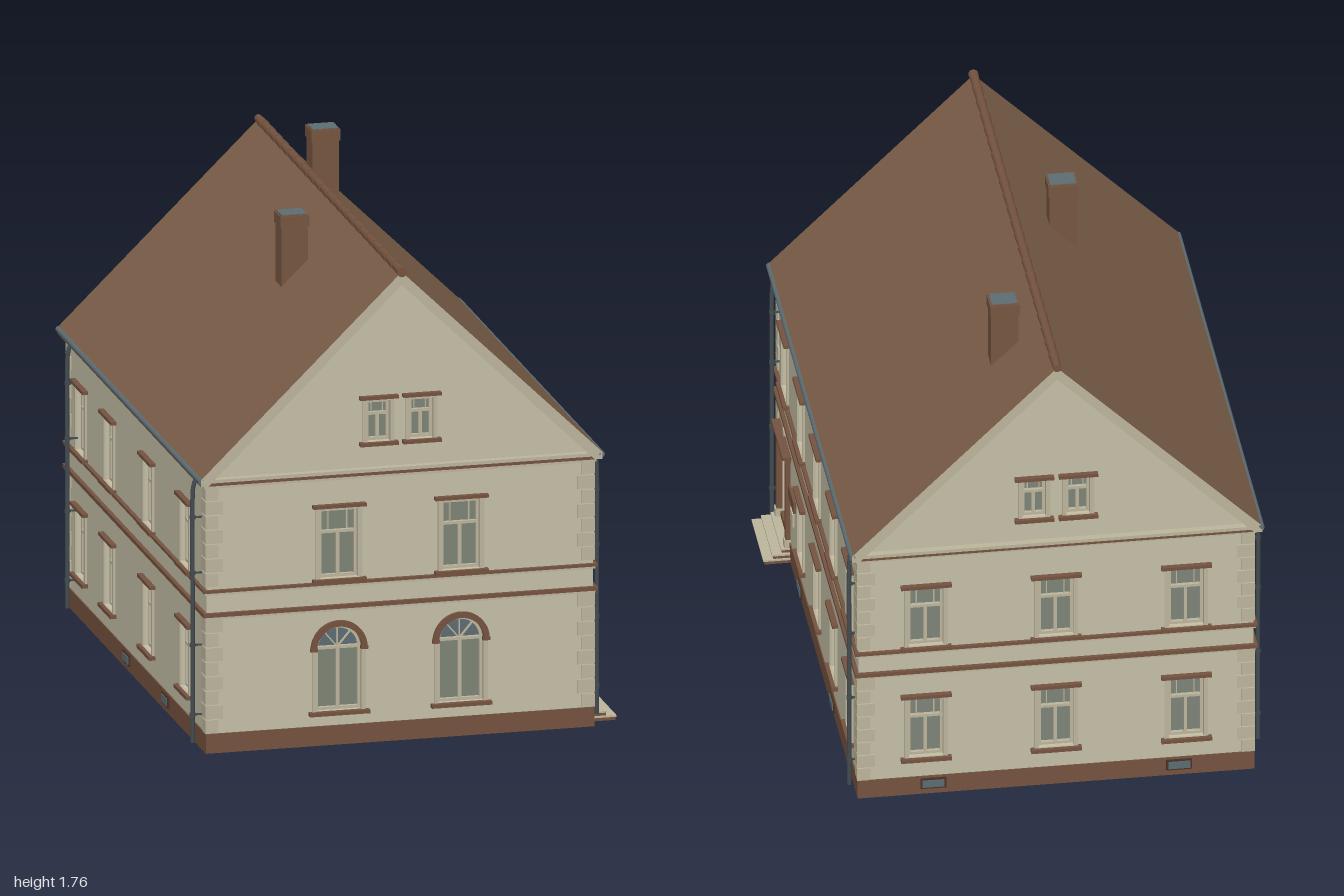
import * as THREE from 'three';

const mat = (name, color) => Object.assign(new THREE.MeshStandardMaterial({ color }), { name });
const M = {
  wall: mat('cream plaster', 0xc6c0a8),
  trim: mat('pale stone trim', 0xbdb69d),
  roof: mat('brown roof tile', 0x7c5e49),
  brown: mat('brown stone', 0x75533f),
  dark: mat('dark door wood', 0x4a3124),
  brick: mat('chimney brick', 0x765641),
  glass: mat('window glass', 0x7e8578),
  slate: mat('blue grey metal', 0x5d6d73),
  pipe: mat('dark zinc', 0x434d52),
};
const CX = -0.033, HW = 0.69, HD = 0.967, T = 0.045;

function add(parent, name, geo, material, x = 0, y = 0, z = 0) {
  const m = new THREE.Mesh(geo, material);
  m.name = name;
  m.position.set(x, y, z);
  parent.add(m);
  return m;
}
const box = (p, name, m, w, h, d, x, y, z) => add(p, name, new THREE.BoxGeometry(w, h, d), m, x, y, z);
const extrude = (shape, depth) => new THREE.ExtrudeGeometry(shape, { depth, bevelEnabled: false, curveSegments: 12 });

// Rectangular or round-headed outline, usable as a shape or a hole
function outline(Type, o, grow = 0) {
  const p = new Type(), h = o.w / 2 + grow, top = o.y1 + grow, low = o.y0 - grow;
  p.moveTo(o.u - h, low);
  p.lineTo(o.u + h, low);
  if (o.arch) p.absarc(o.u, o.y1 - o.w / 2, h, 0, Math.PI, false);
  else { p.lineTo(o.u + h, top); p.lineTo(o.u - h, top); }
  p.closePath();
  return p;
}
function ring(o, outer, inner, depth) {
  const s = outline(THREE.Shape, o, outer);
  s.holes.push(outline(THREE.Path, o, inner));
  return extrude(s, depth);
}

// One window in wall coordinates: u to the right, y up, z outwards
function addWindow(wall, o) {
  const g = new THREE.Group();
  g.name = 'window';
  wall.add(g);
  const h = o.y1 - o.y0, ys = o.arch ? o.y1 - o.w / 2 : o.y0 + h * 0.66, cap = o.w + 0.055;
  add(g, 'glass', extrude(outline(THREE.Shape, o), 0.004), M.glass, 0, 0, -0.032);
  add(g, 'sash', ring(o, 0, -0.01, 0.014), M.trim, 0, 0, -0.028);
  box(g, 'mullion', M.trim, 0.012, ys - o.y0, 0.012, o.u, (ys + o.y0) / 2, -0.02);
  box(g, 'transom', M.trim, o.w, 0.01, 0.014, o.u, ys, -0.02);
  box(g, 'sill', M.brown, cap, 0.013, 0.034, o.u, o.y0 - 0.007, 0.005);
  if (o.arch) {
    const r = o.w / 2;
    // Blue fanlight with spokes and a brown arch band
    const fan = new THREE.Shape().absarc(o.u, ys, r, 0, Math.PI, false);
    add(g, 'fanlight', extrude(fan, 0.003), M.slate, 0, 0, -0.03);
    for (const a of [-0.7, 0, 0.7]) {
      const b = box(g, 'fanSpoke', M.trim, 0.005, r, 0.008, o.u - Math.sin(a) * r / 2, ys + Math.cos(a) * r / 2, -0.022);
      b.rotation.z = a;
    }
    const band = new THREE.Shape();
    band.absarc(o.u, ys, r + 0.021, 0, Math.PI, false);
    band.absarc(o.u, ys, r, Math.PI, 0, true);
    add(g, 'archBand', extrude(band, 0.012), M.brown);
    for (const s of [-1, 1]) {
      box(g, 'impost', M.brown, 0.026, 0.012, 0.018, o.u + s * (r + 0.01), ys, 0.005);
      box(g, 'jamb', M.trim, 0.016, ys - o.y0, 0.008, o.u + s * (r + 0.008), (ys + o.y0) / 2, 0.004);
    }
  } else {
    add(g, 'surround', ring(o, 0.015, 0, 0.008), M.trim);
    box(g, 'lintelCap', M.brown, cap, 0.012, 0.024, o.u, o.y1 + 0.013, 0.008);
    for (const s of [-1, 1]) // slim upper glazing bars
      box(g, 'glazingBar', M.trim, 0.004, o.y1 - ys, 0.008, o.u + s * o.w * 0.25, (o.y1 + ys) / 2, -0.024);
  }
}

// A wall with pierced openings, windows, quoins and cellar vents
function addWall(house, name, half, end, dist, angle, gable, windows, vents, door) {
  const g = new THREE.Group();
  g.name = name;
  g.rotation.y = angle;
  g.position.set(CX + Math.sin(angle) * dist, 0, Math.cos(angle) * dist);
  house.add(g);
  const s = new THREE.Shape();
  s.moveTo(-half, 0.02);
  s.lineTo(half, 0.02);
  s.lineTo(half, 0.99);
  if (gable) s.lineTo(0, 1.665);
  s.lineTo(-half, 0.99);
  s.closePath();
  for (const o of door ? [...windows, door] : windows) s.holes.push(outline(THREE.Path, o));
  add(g, 'wallFace', extrude(s, T), M.wall, 0, 0, -T);
  windows.forEach(o => addWindow(g, o));
  for (const [y0, n] of [[0.07, 8], [0.598, 7]]) {
    const step = (y0 < 0.5 ? 0.415 : 0.362) / n;
    for (let i = 0; i < n; i++) for (const side of [-1, 1]) {
      const w = i % 2 ? 0.062 : 0.046;
      box(g, 'quoin', M.trim, w, step - 0.004, 0.012, side * (end + 0.005 - w / 2), y0 + step * (i + 0.5), 0);
    }
  }
  for (const u of vents) {
    box(g, 'ventFrame', M.dark, 0.09, 0.04, 0.008, u, 0.042, 0.006);
    box(g, 'ventGrille', M.slate, 0.076, 0.028, 0.008, u, 0.042, 0.009);
  }
  return g;
}

// Panelled door, fanlight, frame and signs
function addDoor(wall, o) {
  const g = new THREE.Group();
  g.name = 'entrance';
  wall.add(g);
  const u = o.u;
  box(g, 'doorLeaf', M.brown, o.w, 0.285, 0.01, u, 0.195, -0.03);
  for (const s of [-1, 1]) {
    for (let r = 0; r < 3; r++) {
      const y = 0.108 + r * 0.087;
      box(g, 'doorPanel', M.dark, 0.072, 0.07, 0.008, u + s * 0.045, y, -0.023);
      box(g, 'panelField', M.brown, 0.044, 0.042, 0.008, u + s * 0.045, y, -0.02);
    }
    box(g, 'doorPilaster', M.brown, 0.028, 0.35, 0.02, u + s * (o.w / 2 + 0.013), 0.225, 0.008);
    box(g, 'pilasterBase', M.trim, 0.032, 0.03, 0.026, u + s * (o.w / 2 + 0.013), 0.065, 0.01);
  }
  box(g, 'doorHandle', M.pipe, 0.006, 0.02, 0.012, u + 0.004, 0.195, -0.018);
  box(g, 'doorTransom', M.brown, o.w, 0.014, 0.02, u, 0.34, -0.018);
  box(g, 'doorFanlight', M.glass, o.w, 0.05, 0.006, u, 0.37, -0.03);
  for (let i = -2; i <= 2; i++) box(g, 'fanlightBar', M.trim, 0.005, 0.046, 0.008, u + i * 0.036, 0.37, -0.024);
  box(g, 'doorLintel', M.brown, 0.25, 0.018, 0.022, u, 0.4, 0.009);
  box(g, 'doorCornice', M.brown, 0.268, 0.012, 0.034, u, 0.414, 0.014);
  box(g, 'signBoard', M.brown, 0.125, 0.045, 0.009, -0.578, 0.287, 0.006);
  box(g, 'noticePlate', M.trim, 0.054, 0.05, 0.008, -0.578, 0.214, 0.005);
  box(g, 'houseLamp', M.trim, 0.03, 0.02, 0.009, u, 0.446, 0.005);
  [[0.28, 0.142], [0.27, 0.11], [0.25, 0.078]].forEach(([w, d], i) => {
    box(g, 'step', M.brown, w, 0.016, d - 0.01, u, 0.008 + i * 0.016, d / 2 - 0.042);
    box(g, 'stepNosing', M.trim, w + 0.002, 0.006, d - 0.006, u, 0.014 + i * 0.016, d / 2 - 0.04);
  });
}

export function createModel() {
  const house = new THREE.Group();
  house.name = 'house';
  const row = (us, w, y0, y1, arch) => us.map(u => ({ u, w, y0, y1, arch }));
  const attic = row([-0.077, 0.077], 0.082, 1.082, 1.228);
  const floors = (us, low = us) => [...row(us, 0.122, 0.597, 0.826), ...row(low, 0.122, 0.15, 0.384)];

  // Four walls
  addWall(house, 'frontWall', HW, HW, HD, 0, true,
    [...row([-0.218, 0.218], 0.135, 0.6, 0.848), ...row([-0.218, 0.218], 0.16, 0.123, 0.426, true), ...attic], []);
  addWall(house, 'backWall', HW, HW, HD, Math.PI, true, [...floors([-0.455, 0, 0.455]), ...attic], [-0.43, 0.43]);
  const side = [-0.77, -0.386, 0, 0.386, 0.77];
  const door = { u: -0.77, w: 0.188, y0: 0.05, y1: 0.395 };
  const right = addWall(house, 'rightWall', HD - T, HD, HW, Math.PI / 2, false,
    floors(side, side.slice(1)), [-0.386, 0.386], door);
  addDoor(right, door);
  addWall(house, 'leftWall', HD - T, HD, HW, -Math.PI / 2, false, floors([-0.77, -0.375, 0.165, 0.68]), [-0.12, 0.42]);

  // Plinth and horizontal courses, each [name, material, y, height, projection]
  for (const [name, m, y, h, p] of [
    ['lowerCourse', M.brown, 0.498, 0.014, 0.014], ['lowerCourseBed', M.trim, 0.487, 0.01, 0.008],
    ['upperCourse', M.brown, 0.583, 0.01, 0.014], ['upperCourseBed', M.trim, 0.574, 0.01, 0.008],
    ['corniceLine', M.brown, 0.972, 0.013, 0.02], ['corniceBed', M.trim, 0.96, 0.012, 0.01],
    ['eavesCornice', M.trim, 0.984, 0.012, 0.026],
  ]) box(house, name, m, 2 * (HW + p), h, 2 * (HD + p), CX, y, 0);
  box(house, 'plinth', M.brown, 2 * HW + 0.008, 0.07, 2 * HD + 0.008, CX, 0.035, 0);

  // Roof with pale verges at both gable ends
  const c = new THREE.Shape();
  [[-0.718, 0.992], [-0.718, 0.968], [-0.69, 0.968], [0, 1.645], [0.69, 0.968], [0.718, 0.968], [0.718, 0.992], [0, 1.692]]
    .forEach(([x, y], i) => (i ? c.lineTo(x, y) : c.moveTo(x, y)));
  c.closePath();
  add(house, 'roof', extrude(c, 1.99), [M.trim, M.roof], CX, 0, -0.995);

  // Overlapping ridge tiles
  for (let i = 0; i < 22; i++) {
    const t = add(house, 'ridgeTile', new THREE.CylinderGeometry(0.018, 0.014, 0.094, 12), M.brown, CX, 1.692, -0.953 + i * 0.0908);
    t.rotation.x = Math.PI / 2;
  }

  // Chimneys, each [x, z, top]
  for (const [x, z, top] of [[-0.229, 0.23, 1.71], [0.1, -0.618, 1.76]]) {
    box(house, 'chimney', M.brick, 0.096, 0.35, 0.08, x, top - 0.175, z);
    box(house, 'chimneyBand', M.brick, 0.104, 0.04, 0.088, x, top - 0.024, z);
    box(house, 'chimneyCover', M.slate, 0.09, 0.006, 0.074, x, top - 0.002, z);
  }

  // Gutters and downpipes
  for (const s of [-1, 1]) {
    const gutter = add(house, 'gutter', new THREE.CylinderGeometry(0.011, 0.011, 1.99, 10), M.slate, CX + s * 0.715, 0.985, 0);
    gutter.rotation.x = Math.PI / 2;
    for (const z of s > 0 ? [0.92, -0.92] : [0.92, -0.82]) {
      const x = s > 0 ? 0.716 : 0.728;
      const path = new THREE.CatmullRomCurve3([[0.714, 0.985], [x - 0.003, 0.955], [x, 0.92], [x, 0.5], [x, 0.07], [x, 0.03]]
        .map(([px, py]) => new THREE.Vector3(CX + s * px, py, z)));
      add(house, 'downpipe', new THREE.TubeGeometry(path, 40, 0.008, 8), M.pipe);
      for (const y of [0.13, 0.38, 0.64, 0.84]) {
        add(house, 'pipeCollar', new THREE.CylinderGeometry(0.0105, 0.0105, 0.012, 10), M.pipe, CX + s * x, y, z);
        box(house, 'pipeBracket', M.pipe, x - HW, 0.006, 0.006, CX + s * (x + HW) / 2, y, z);
      }
    }
  }
  return house;
}
